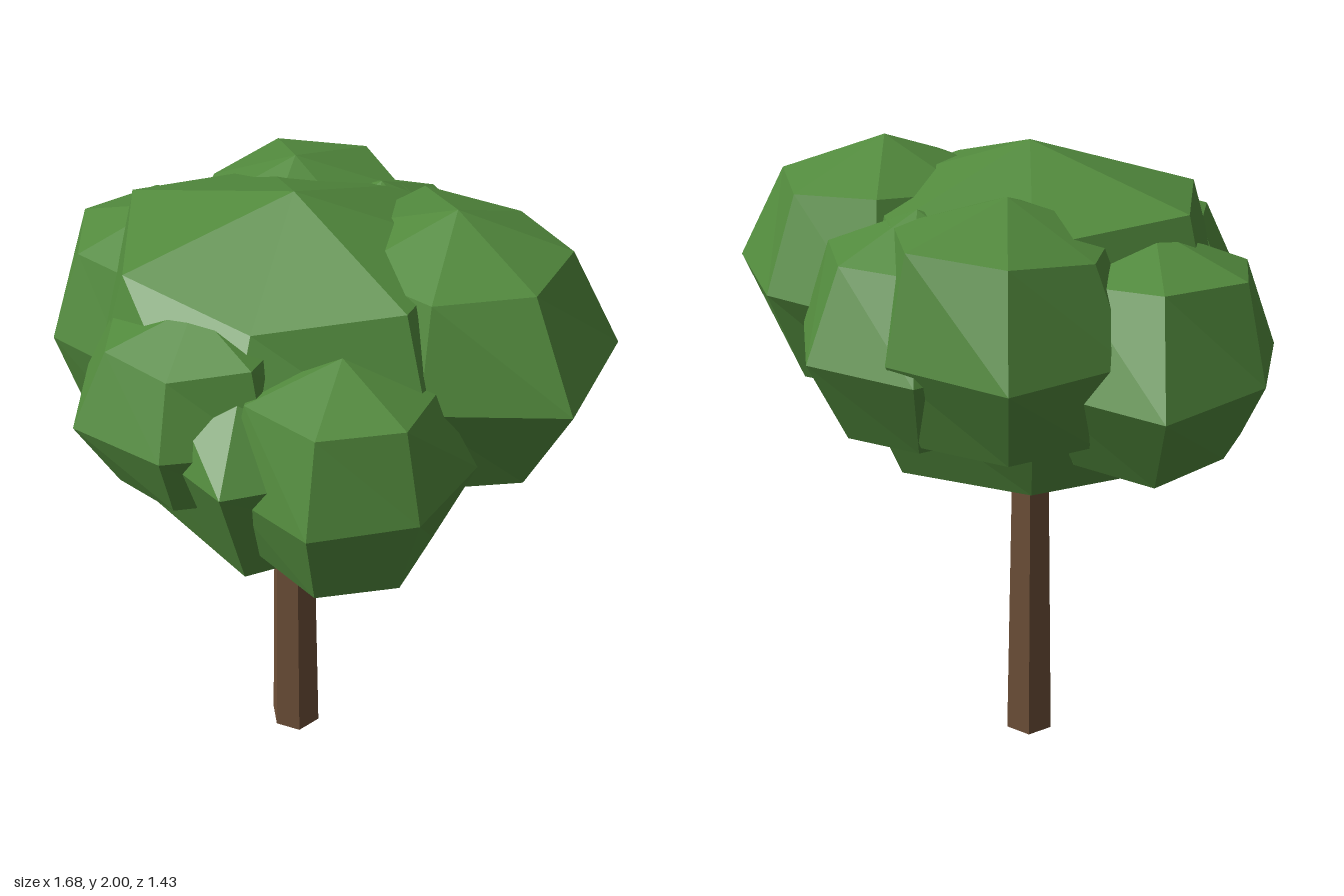
import * as THREE from 'three';

const leafGreen = new THREE.MeshStandardMaterial({ color: 0x528a3d, flatShading: true });
leafGreen.name = 'leafGreen';
const barkBrown = new THREE.MeshStandardMaterial({ color: 0x6e5038, flatShading: true });
barkBrown.name = 'barkBrown';

const SIDES = 7, RINGS = 4;
const EVEN = [1, 1, 1, 1, 1, 1, 1];

// Faceted leaf clump: a coarse sphere whose vertices are pushed in or out.
// Each list holds one factor per corner, counted round from the back towards +x.
function clump(name, [x, y, z], radius, height, { upper = EVEN, middle = EVEN, lower = EVEN } = {}) {
  const geometry = new THREE.SphereGeometry(1, SIDES, RINGS);
  const pos = geometry.attributes.position;
  const factors = [null, upper, middle, lower, null];
  for (let i = 0; i < pos.count; i++) {
    const ring = factors[Math.floor(i / (SIDES + 1))];
    const f = ring ? ring[(2 * SIDES - 1 - (i % (SIDES + 1))) % SIDES] : 1;
    pos.setXYZ(i, pos.getX(i) * f * radius, pos.getY(i) * f * height, pos.getZ(i) * f * radius);
  }
  geometry.rotateY(THREE.MathUtils.degToRad(-7));
  geometry.computeVertexNormals();
  const mesh = new THREE.Mesh(geometry, leafGreen);
  mesh.name = name;
  mesh.position.set(x, y, z);
  return mesh;
}

export function createModel() {
  const tree = new THREE.Group();
  tree.name = 'tree';

  // Tapered six-sided trunk
  const trunkHeight = 1.2;
  const trunkGeometry = new THREE.CylinderGeometry(0.061, 0.085, trunkHeight, 6);
  trunkGeometry.rotateY(Math.PI / 6);
  const trunk = new THREE.Mesh(trunkGeometry, barkBrown);
  trunk.name = 'trunk';
  trunk.position.set(-0.045, trunkHeight / 2, 0.03);
  tree.add(trunk);

  // Crown: one large core with smaller clumps around it
  tree.add(
    clump('crownCore', [-0.04, 1.473, 0.025], 0.68, 0.527, {
      upper: [1, 1, 1, 1.02, 0.85, 1.02, 1.1],
      middle: [0.95, 0.92, 0.95, 0.93, 1.03, 0.9, 0.95],
      lower: [0.95, 0.98, 0.95, 0.97, 1.08, 0.97, 0.98],
    }),
    clump('leftClump', [0.39, 1.585, -0.07], 0.45, 0.395, {
      upper: [1.08, 0.98, 1, 1, 1, 1, 1],
      middle: [1.08, 0.94, 1.05, 1.1, 0.9, 1, 1],
      lower: [1, 1, 1.05, 1.08, 1.05, 1, 1],
    }),
    clump('rightClump', [-0.48, 1.48, -0.07], 0.38, 0.36, {
      upper: [1.1, 1.05, 1, 1, 1, 1, 1.08],
      middle: [1.2, 1.05, 1, 1, 0.95, 0.97, 0.96],
      lower: [1.05, 1, 1, 1, 1.1, 1.08, 0.95],
    }),
    clump('backRightClump', [-0.17, 1.57, -0.31], 0.42, 0.37, {
      upper: [1.08, 1.1, 1.05, 1, 1, 1, 0.95],
      middle: [1.05, 0.95, 0.95, 1, 1, 1, 0.95],
    }),
    clump('backLeftClump', [0.08, 1.53, -0.36], 0.36, 0.35, {
      middle: [1.08, 1.03, 0.95, 1, 1, 1, 1],
    }),
    clump('frontRightClump', [-0.18, 1.52, 0.38], 0.34, 0.29, {
      upper: [1, 1, 1, 1.1, 0.95, 1.03, 1.05],
      middle: [1, 1, 0.95, 0.95, 0.93, 1.04, 1.08],
    }),
    clump('frontLeftClump', [0.23, 1.405, 0.37], 0.35, 0.335, {
      upper: [1, 1, 1, 1.08, 1.08, 1.1, 1],
      middle: [1, 1, 1.05, 0.96, 1, 0.95, 1],
      lower: [1, 1, 1.05, 1.08, 1.08, 1, 1],
    }),
  );
  return tree;
}
